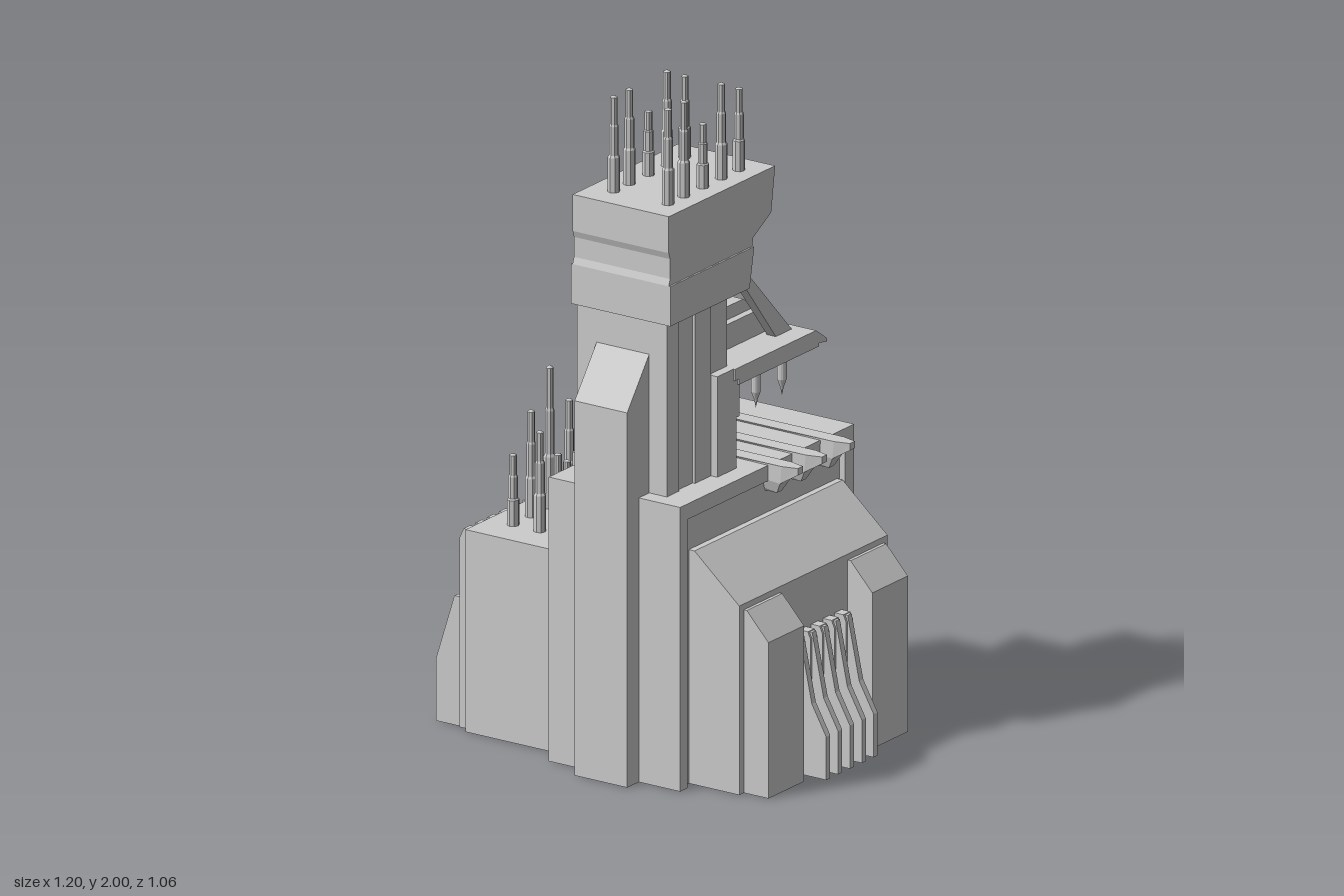
import * as THREE from 'three';

const mat = new THREE.MeshStandardMaterial({ color: 0xcccccc, flatShading: true });
const MID = 0.0875; // x of the tower axis

export function createModel() {
  const root = new THREE.Group();

  const add = (name, geo) => {
    const m = new THREE.Mesh(geo, mat);
    m.name = name;
    root.add(m);
    return m;
  };
  // box given by its limits
  const box = (name, x0, x1, y0, y1, z0, z1) =>
    add(name, new THREE.BoxGeometry(x1 - x0, y1 - y0, z1 - z0)
      .translate((x0 + x1) / 2, (y0 + y1) / 2, (z0 + z1) / 2));
  const extrude = (pts, depth) => new THREE.ExtrudeGeometry(
    new THREE.Shape(pts.map(p => new THREE.Vector2(p[0], p[1]))), { depth, bevelEnabled: false });
  // (x, y) profile running along z
  const alongZ = (name, pts, z0, z1) => add(name, extrude(pts, z1 - z0).translate(0, 0, z0));
  // (z, y) profile running along x
  const alongX = (name, pts, x0, x1) =>
    add(name, extrude(pts, x1 - x0).rotateY(-Math.PI / 2).translate(x1, 0, 0));
  // stepped chimney spike
  const spike = (name, x, y, z, h) => {
    const prof = [[0.018, 0], [0.018, 0.36], [0.014, 0.38], [0.014, 0.68], [0.011, 0.7], [0.011, 0.98], [0, 1]];
    add(name, new THREE.LatheGeometry(prof.map(([r, t]) => new THREE.Vector2(r, t * h)), 8)
      .translate(x, y, z));
  };

  // Main block: recessed core, cap and corner posts
  box('mainBlockCore', -0.12, 0.295, 0, 0.82, -0.375, 0.45);
  box('mainBlockCap', -0.14, 0.315, 0.81, 0.857, -0.395, 0.472);
  box('mainBlockFront', -0.14, 0.315, 0, 0.81, 0.435, 0.472);
  box('backPostRight', -0.14, -0.095, 0, 0.81, -0.395, -0.35);
  box('backPostLeft', 0.27, 0.315, 0, 0.81, -0.395, -0.35);

  // Roof ribs ending in tapered claws
  for (const z of [-0.25, -0.11, 0.01]) {
    const half = [[0.25, 0.775], [0.27, 0.81], [0.3225, 0.842], [0.3225, 0.863], [0.275, 0.863]];
    const pts = [...half, ...half.map(([x, y]) => [-x, y]).reverse()];
    const g = extrude(pts, 0.05).translate(0, 0, -0.025);
    const p = g.attributes.position;
    for (let i = 0; i < p.count; i++) {
      if (Math.abs(p.getX(i)) > 0.3 || p.getY(i) < 0.8) p.setZ(i, p.getZ(i) * 0.5);
    }
    g.computeVertexNormals();
    add('roofRib', g.translate(MID, 0, z));
  }

  // Front pillar with sloped top
  alongX('frontPillar', [[0.4, 0], [0.53, 0], [0.53, 1.13], [0.42, 1.275], [0.4, 1.275]], -0.01, 0.172);

  // Tower shaft with side ribs and bracket
  box('towerShaft', -0.07, 0.225, 0.85, 1.4, 0.108, 0.42);
  box('towerSideRib', -0.078, 0.233, 0.85, 1.4, 0.2, 0.28);
  box('towerFrontRib', -0.078, 0.233, 0.85, 1.4, 0.36, 0.42);
  box('towerBracketLow', -0.085, 0.255, 0.85, 1.01, 0.106, 0.2);
  box('towerBracketHigh', -0.085, 0.255, 1.01, 1.16, 0.09, 0.2);

  // Tower head with a shallow groove round the front
  alongX('towerHead', [[0.435, 1.38], [0.435, 1.5], [0.428, 1.52], [0.428, 1.58], [0.435, 1.6],
    [0.435, 1.71], [-0.095, 1.71], [-0.075, 1.575], [0.015, 1.525], [0.04, 1.38]], -0.083, 0.25);
  for (const s of [-1, 1]) {
    const x = MID - 0.004 + s * 0.169;
    alongX('headSideRim', [[0.435, 1.38], [0.435, 1.5], [0.017, 1.5], [0.04, 1.38]], x - 0.003, x + 0.003);
  }
  const headZ = [-0.008, 0.08, 0.172, 0.267, 0.345], headH = [0.25, 0.29, 0.195, 0.29, 0.29];
  for (const x of [-0.003, 0.185]) headZ.forEach((z, i) => spike('headSpike', x, 1.71, z, headH[i]));

  // Rear arm: platform, beam, struts
  alongX('armPlatform', [[0.12, 1.125], [-0.25, 1.125], [-0.338, 1.112], [-0.338, 1.122], [-0.285, 1.16], [0.12, 1.16]], -0.085, 0.26);
  for (const x of [-0.085, 0.242]) box('platformRail', x, x + 0.018, 1.108, 1.14, -0.3, 0.1);
  alongX('armBeam', [[0.12, 1.15], [-0.29, 1.15], [-0.2, 1.235], [0.12, 1.235]], 0.03, 0.145);
  alongX('armBeamTop', [[0.12, 1.23], [-0.18, 1.23], [-0.12, 1.275], [0.12, 1.275]], 0.05, 0.122);
  for (const x of [-0.033, 0.165]) {
    alongX('armStrut', [[0.05, 1.48], [0.05, 1.41], [-0.005, 1.375], [-0.18, 1.155], [-0.26, 1.155]], x, x + 0.031);
  }
  // Hanging discs with needles
  const needle = [[0, 0.96], [0.005, 0.985], [0.014, 1.01], [0.014, 1.07], [0.022, 1.085], [0.048, 1.085],
    [0.048, 1.1], [0.062, 1.1], [0.062, 1.115], [0.03, 1.115], [0.03, 1.13]].map(p => new THREE.Vector2(...p));
  for (const x of [MID - 0.085, MID + 0.085]) {
    for (const z of [0.02, -0.11, -0.24]) add('hangingNeedle', new THREE.LatheGeometry(needle, 16).translate(x, 0, z));
  }

  // Right wing: block, rear box, spikes and side fins
  box('rightWing', -0.477, -0.1, 0, 0.61, -0.325, 0.402);
  alongX('rightWingRearBox', [[-0.3, 0], [-0.372, 0], [-0.372, 0.4], [-0.325, 0.46], [-0.3, 0.46]], -0.39, -0.22);
  const wingZ = [-0.27, -0.177, -0.083, 0.01, 0.108, 0.2, 0.29];
  [-0.39, -0.297, -0.203].forEach((x, c) => wingZ.forEach((z, r) => {
    const tall = [0.43, 0.38, 0.335][c];
    spike('wingSpike', x, 0.61, z, tall * [0.55, 0.8, 0.6, 0.7, 1, 0.75, 0.5][(r + c * 2) % 7]);
  }));
  for (let i = 0; i < 12; i++) {
    const z = -0.287 + i * 0.059;
    alongZ('rightFinRoot', [[-0.46, 0], [-0.515, 0], [-0.515, 0.57], [-0.5, 0.602], [-0.46, 0.602]], z - 0.016, z + 0.016);
    alongZ('rightFin', [[-0.5, 0], [-0.6, 0], [-0.6, 0.19], [-0.537, 0.39], [-0.5, 0.39]], z - 0.009, z + 0.009);
  }

  // Left wing: sloped block, two buttresses, five fins
  alongZ('leftWing', [[0.25, 0], [0.47, 0], [0.47, 0.57], [0.315, 0.705], [0.25, 0.705]], -0.338, 0.4);
  for (const [z0, z1] of [[-0.317, -0.14], [0.2, 0.377]]) {
    alongZ('buttress', [[0.45, 0], [0.555, 0], [0.555, 0.47], [0.48, 0.552], [0.45, 0.552]], z0, z1);
  }
  for (let i = 0; i < 5; i++) {
    const z = -0.092 + i * 0.059;
    alongZ('leftFin', [[0.45, 0], [0.6, 0], [0.6, 0.13], [0.55, 0.22], [0.51, 0.41], [0.45, 0.41]], z - 0.01, z + 0.01);
    alongZ('leftFinRoot', [[0.45, 0], [0.51, 0], [0.51, 0.39], [0.5, 0.412], [0.45, 0.412]], z - 0.017, z + 0.017);
  }

  // Back: sloped box and three fins
  alongX('backBox', [[-0.35, 0], [-0.53, 0], [-0.53, 0.29], [-0.39, 0.36], [-0.35, 0.36]], -0.06, 0.238);
  for (const x of [0.035, 0.092, 0.15]) {
    alongX('backFin', [[-0.36, 0.28], [-0.485, 0.28], [-0.485, 0.42], [-0.413, 0.555], [-0.403, 0.69], [-0.36, 0.69]], x - 0.012, x + 0.012);
  }

  return root;
}
